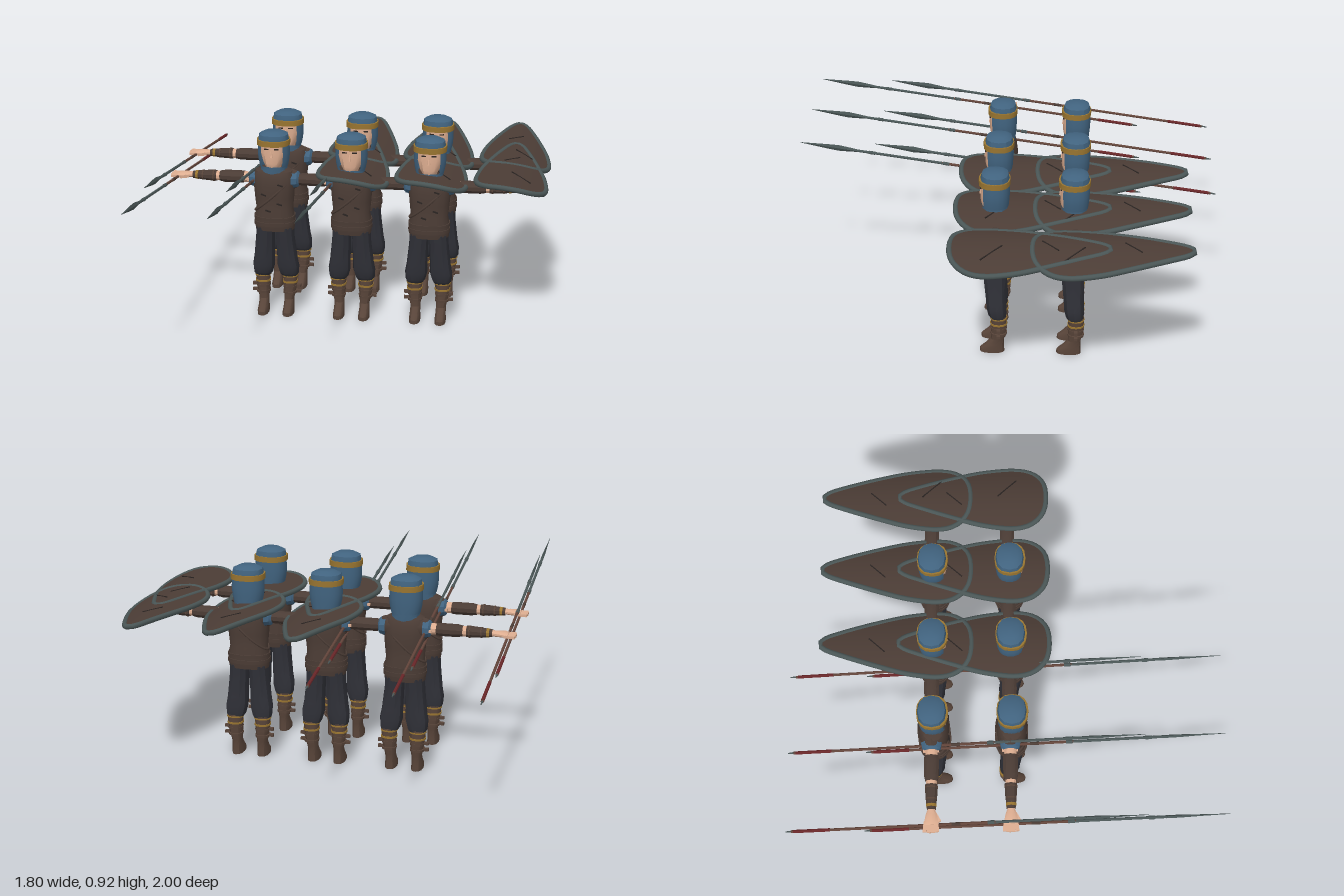
import * as THREE from 'three';
import { toCreasedNormals } from 'three/addons/utils/BufferGeometryUtils.js';

const mat = (name, color, side = THREE.FrontSide) => {
  const m = new THREE.MeshStandardMaterial({ color, side });
  m.name = name;
  return m;
};
const M = {
  hood: mat('blue cloth', 0x41637f, THREE.DoubleSide),
  gold: mat('gold', 0x987430),
  skin: mat('skin', 0xdeae91),
  leather: mat('dark leather', 0x4b3c35),
  trouser: mat('charcoal cloth', 0x2f3037),
  boot: mat('boot leather', 0x584439),
  wood: mat('reddish wood', 0x62443a),
  iron: mat('grey iron', 0x4a5656),
  dark: mat('near black', 0x2a2422),
  red: mat('dark red cord', 0x682628),
};

// Rings are [y, radiusX, radiusZ, centreX, centreZ], listed from bottom to top
function loft(rings, { n = 12, power = 0.85, start = 0, arc = Math.PI * 2, caps = true } = {}) {
  const pos = [], idx = [];
  const bend = (v) => Math.sign(v) * Math.abs(v) ** power;
  for (const [y, rx, rz, cx = 0, cz = 0] of rings) {
    for (let j = 0; j <= n; j++) {
      const t = start + (arc * j) / n;
      pos.push(cx + rx * bend(Math.cos(t)), y, cz + rz * bend(Math.sin(t)));
    }
  }
  const w = n + 1;
  for (let i = 0; i < rings.length - 1; i++) {
    for (let j = 0; j < n; j++) {
      const a = i * w + j;
      idx.push(a, a + w, a + 1, a + 1, a + w, a + w + 1);
    }
  }
  if (caps) {
    [0, rings.length - 1].forEach((r, top) => {
      const [y, , , cx = 0, cz = 0] = rings[r];
      const c = pos.length / 3;
      pos.push(cx, y, cz);
      for (let j = 0; j < n; j++) {
        const a = r * w + j;
        if (top) idx.push(c, a + 1, a); else idx.push(c, a, a + 1);
      }
    });
  }
  const g = new THREE.BufferGeometry();
  g.setAttribute('position', new THREE.Float32BufferAttribute(pos, 3));
  g.setIndex(idx);
  return toCreasedNormals(g, 0.6);
}

function add(group, name, geo, material, x = 0, y = 0, z = 0) {
  const m = new THREE.Mesh(geo, material);
  m.name = name;
  m.position.set(x, y, z);
  group.add(m);
  return m;
}
const box = (w, h, d) => new THREE.BoxGeometry(w, h, d);

function makeHead() {
  const g = new THREE.Group();
  g.name = 'head';
  add(g, 'face', loft([[0.72, 0.035, 0.035], [0.75, 0.034, 0.055, 0, 0.006], [0.775, 0.048, 0.06, 0, 0.006],
    [0.82, 0.061, 0.06, 0, 0.006], [0.87, 0.063, 0.06, 0, 0.006]]), M.skin);
  add(g, 'nose', loft([[0.806, 0.008, 0.007], [0.812, 0.007, 0.006], [0.838, 0.003, 0.002]], { n: 6 }), M.skin, 0, 0, 0.065);
  for (const s of [-1, 1]) {
    add(g, 'eye', box(0.022, 0.005, 0.008), M.dark, s * 0.024, 0.846, 0.062);
  }
  // The hood closes under the chin, opens around the face, closes over the brow
  add(g, 'hoodCollar', loft([[0.715, 0.07, 0.058], [0.74, 0.063, 0.061], [0.757, 0.066, 0.062]], { caps: false }), M.hood);
  const open = 0.72;
  add(g, 'hoodSides', loft([[0.752, 0.066, 0.062], [0.785, 0.073, 0.065], [0.82, 0.076, 0.067], [0.868, 0.073, 0.067]],
    { caps: false, start: Math.PI / 2 + open, arc: Math.PI * 2 - 2 * open, n: 14 }), M.hood);
  add(g, 'hoodTop', loft([[0.86, 0.073, 0.067], [0.885, 0.073, 0.066], [0.907, 0.069, 0.061], [0.921, 0.04, 0.038]]), M.hood);
  add(g, 'browBand', loft([[0.858, 0.079, 0.072, 0, 0.002], [0.884, 0.079, 0.072, 0, 0.002]], { n: 16 }), M.gold);
  return g;
}

function makeTorso() {
  const g = new THREE.Group();
  g.name = 'torso';
  add(g, 'tunic', loft([[0.435, 0.094, 0.064], [0.465, 0.098, 0.07], [0.5, 0.097, 0.074], [0.54, 0.089, 0.066],
    [0.6, 0.095, 0.07], [0.66, 0.1, 0.072], [0.7, 0.1, 0.066], [0.728, 0.09, 0.056], [0.742, 0.06, 0.046]], { n: 16 }), M.leather);
  for (const [y, h] of [[0.462, 0.018], [0.492, 0.014]]) {
    add(g, 'belt', loft([[y, 0.1, 0.077], [y + h, 0.1, 0.078]], { n: 16 }), M.leather);
  }
  // Diagonal chest strap
  const pts = [];
  for (let i = 0; i < 16; i++) {
    const t = (i / 16) * Math.PI * 2;
    pts.push(new THREE.Vector3(0.094 * Math.cos(t), 0.61 + 0.085 * Math.cos(t), 0.071 * Math.sin(t)));
  }
  add(g, 'chestStrap', new THREE.TubeGeometry(new THREE.CatmullRomCurve3(pts, true), 32, 0.006, 5, true), M.leather);
  for (const [x, y] of [[0.04, 0.67], [-0.04, 0.62], [0.035, 0.575], [-0.02, 0.54]]) {
    add(g, 'toggle', box(0.026, 0.006, 0.008), M.dark, x, y, 0.068).rotation.z = -0.3;
  }
  return g;
}

// s is +1 for the left arm, -1 for the right
function makeArm(s) {
  const g = new THREE.Group();
  g.name = s > 0 ? 'leftArm' : 'rightArm';
  const along = (name, rings, m, n = 10) => add(g, name, loft(rings, { n, power: 1 }).rotateZ(-s * Math.PI / 2), m, 0, 0.683, -0.008);
  // The leather cap rides over the top of the blue sleeve
  along('shoulder', [[0.06, 0.052, 0.05], [0.095, 0.048, 0.042], [0.108, 0.042, 0.033]], M.leather);
  along('sleeve', [[0.086, 0.045, 0.05], [0.112, 0.04, 0.044], [0.121, 0.029, 0.032]], M.hood);
  along('armSkin', [[0.1, 0.027, 0.03], [0.2, 0.026, 0.028], [0.28, 0.024, 0.025], [0.41, 0.014, 0.018]], M.skin);
  along('upperWrap', [[0.146, 0.028, 0.033], [0.165, 0.03, 0.036], [0.24, 0.03, 0.035], [0.265, 0.025, 0.029]], M.leather);
  along('bracer', [[0.282, 0.027, 0.029], [0.32, 0.026, 0.029], [0.398, 0.018, 0.021]], M.leather);
  along('bracerTrim', [[0.372, 0.022, 0.025], [0.385, 0.021, 0.024]], M.gold);
  along('elbowTrim', [[0.292, 0.029, 0.031], [0.299, 0.029, 0.031]], M.boot);
  along('wristTrim', [[0.345, 0.025, 0.027], [0.352, 0.025, 0.027]], M.boot);
  along('palm', [[0.395, 0.013, 0.016], [0.42, 0.014, 0.026], [0.455, 0.012, 0.034], [0.47, 0.008, 0.034]], M.skin);
  for (let i = 0; i < 4; i++) {
    const f = add(g, 'finger', box(0.056 - Math.abs(i - 1.4) * 0.006, 0.012, 0.018), M.skin, s * 0.478, 0.68, -0.036 + i * 0.0175);
    f.rotation.y = -s * (i - 1.5) * 0.06;
  }
  add(g, 'thumb', box(0.042, 0.014, 0.014), M.skin, s * 0.436, 0.68, 0.02).rotation.y = -s * 0.5;
  return g;
}

function makeLeg(s) {
  const g = new THREE.Group();
  g.name = s > 0 ? 'leftLeg' : 'rightLeg';
  add(g, 'trouserLeg', loft([[0.185, 0.036, 0.034, s * 0.066, -0.018], [0.205, 0.047, 0.043, s * 0.064, -0.012],
    [0.245, 0.054, 0.048, s * 0.06, -0.008], [0.29, 0.05, 0.048, s * 0.056, -0.005],
    [0.39, 0.046, 0.053, s * 0.049], [0.45, 0.046, 0.058, s * 0.046]], { n: 10 }), M.trouser);
  add(g, 'boot', loft([[0, 0.027, 0.058, s * 0.062, 0.014], [0.018, 0.027, 0.057, s * 0.062, 0.014],
    [0.04, 0.025, 0.043, s * 0.062, 0.002], [0.07, 0.024, 0.03, s * 0.062, -0.012],
    [0.12, 0.031, 0.036, s * 0.065, -0.018], [0.165, 0.035, 0.037, s * 0.067, -0.018], [0.2, 0.037, 0.037, s * 0.067, -0.018]]), M.boot);
  // Straps with knots on the outer side
  for (const y of [0.098, 0.128]) {
    add(g, 'bootStrap', loft([[y, 0.034, 0.038, s * 0.066, -0.018], [y + 0.011, 0.035, 0.039, s * 0.066, -0.018]]), M.boot);
    add(g, 'strapKnot', box(0.022, 0.013, 0.016), M.boot, s * 0.108, y + 0.007, -0.018);
  }
  add(g, 'bootTrim', loft([[0.155, 0.038, 0.04, s * 0.067, -0.018], [0.164, 0.038, 0.04, s * 0.067, -0.018]]), M.gold);
  add(g, 'kneeTrim', loft([[0.187, 0.04, 0.04, s * 0.067, -0.018], [0.193, 0.04, 0.04, s * 0.067, -0.018]]), M.gold);
  return g;
}

// Built along z, then tilted so the tip rises at the front
function makeSpear() {
  const g = new THREE.Group();
  g.name = 'spear';
  const along = (name, rings, m, n = 8) => add(g, name, loft(rings, { n, power: 1 }).rotateX(Math.PI / 2), m);
  const rod = (name, a, b, r, m) => along(name, [[a, r, r], [b, r, r]], m);
  rod('shaft', -0.8, 0.14, 0.0065, M.wood);
  along('buttSpike', [[-0.826, 0.002, 0.002], [-0.79, 0.006, 0.006]], M.iron);
  rod('cordWrap', -0.79, -0.62, 0.0078, M.red);
  rod('gripWrap', -0.06, -0.02, 0.0075, M.leather);
  rod('foreShaft', 0.12, 0.57, 0.0065, M.iron);
  for (const z of [0.12, 0.48]) along('collar', [[z - 0.015, 0.009, 0.008], [z + 0.015, 0.009, 0.008]], M.iron);
  along('blade', [[0.54, 0.007, 0.006], [0.59, 0.007, 0.011], [0.64, 0.006, 0.015], [0.69, 0.004, 0.012], [0.826, 0.001, 0.001]], M.iron, 4);
  g.position.set(-0.467, 0.695, 0.1425);
  g.rotation.x = -Math.atan2(0.23, 1.635);
  return g;
}

// Half-width and z of the teardrop outline, from the round end to the tip
const OUTLINE = [[0.045, 0.176], [0.094, 0.16], [0.132, 0.125], [0.154, 0.08], [0.162, 0.02], [0.157, -0.05],
  [0.142, -0.14], [0.118, -0.23], [0.088, -0.33], [0.055, -0.43], [0.03, -0.495], [0.01, -0.52]];
const shieldY = (x) => 0.748 - 1.28 * (x + 0.05) ** 2;

function makeShield() {
  const g = new THREE.Group();
  g.name = 'shield';
  const last = OUTLINE.length - 1;
  const board = new THREE.BoxGeometry(1, 0.012, 1, 8, 1, last);
  const p = board.attributes.position;
  for (let i = 0; i < p.count; i++) {
    const [w, z] = OUTLINE[Math.round((0.5 - p.getZ(i)) * last)];
    const x = p.getX(i) * 2 * w;
    p.setXYZ(i, x, p.getY(i) + shieldY(x), z);
  }
  add(g, 'shieldBoard', toCreasedNormals(board, 0.7), M.leather);
  const right = OUTLINE.map(([w, z]) => new THREE.Vector3(w, shieldY(w), z));
  const left = OUTLINE.map(([w, z]) => new THREE.Vector3(-w, shieldY(-w), z)).reverse();
  add(g, 'shieldRim', new THREE.TubeGeometry(new THREE.CatmullRomCurve3([...right, ...left], true), 64, 0.0125, 8, true), M.iron);
  // Scored marks in the surface
  for (const [x, z, len, turn] of [[0.045, -0.005, 0.13, 0.8], [-0.01, -0.26, 0.1, -0.75]]) {
    const m = add(g, 'scoreMark', box(0.005, 0.006, len), M.dark, x, shieldY(x) + 0.005, z);
    m.rotation.set(0, turn, -Math.atan(2.56 * (x + 0.05)), 'ZYX');
  }
  g.position.x = 0.381;
  return g;
}

export function createModel() {
  const soldier = new THREE.Group();
  soldier.name = 'soldier';
  soldier.add(makeHead(), makeTorso(), makeSpear(), makeShield());
  for (const s of [1, -1]) soldier.add(makeArm(s), makeLeg(s));
  const squad = new THREE.Group();
  squad.name = 'squad';
  for (const z of [0.04, -0.32]) {
    for (const x of [-0.395, -0.0225, 0.35]) {
      const one = soldier.clone();
      one.position.set(x, 0, z);
      squad.add(one);
    }
  }
  return squad;
}
